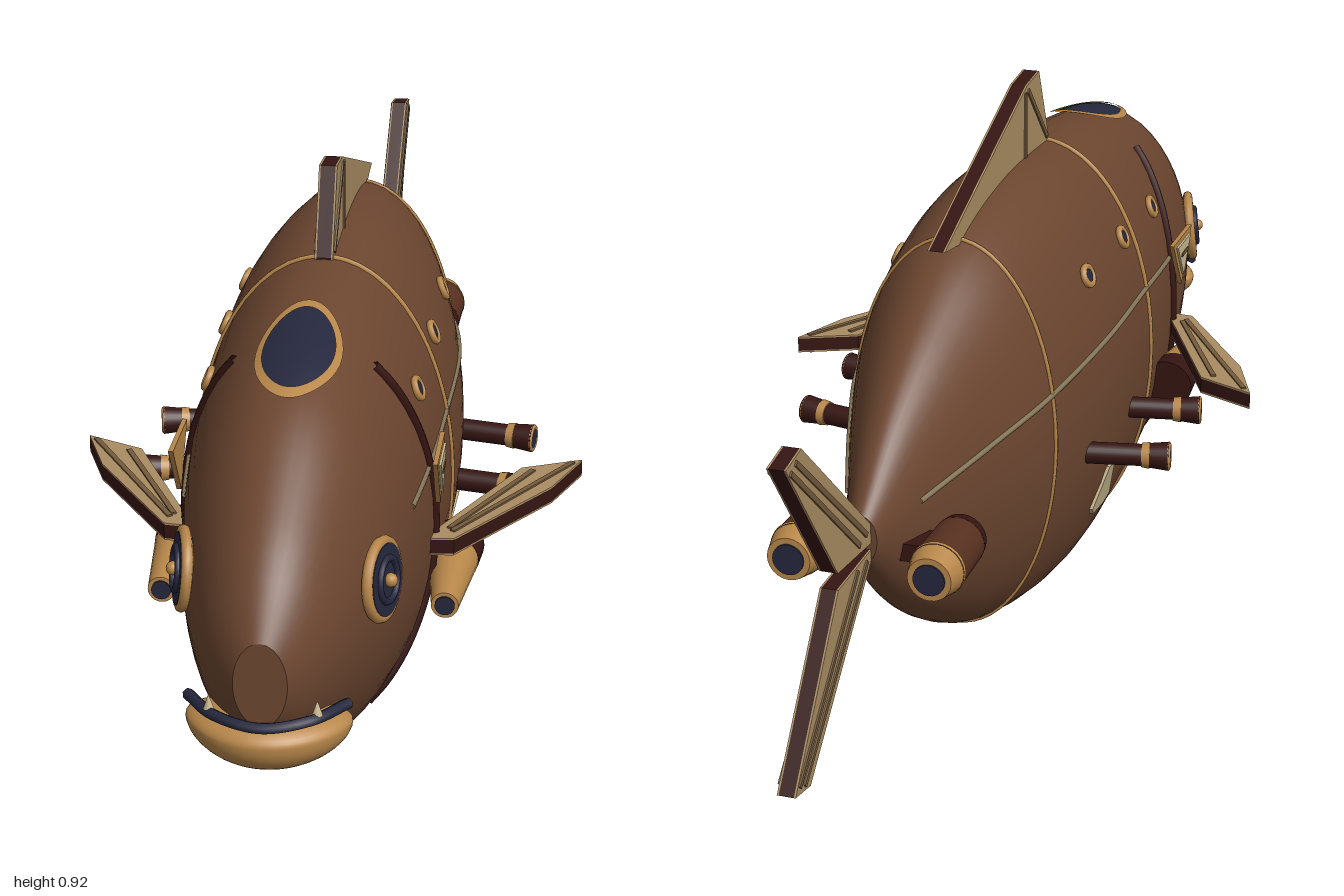
import * as THREE from 'three';

const mat = (name, color) => new THREE.MeshStandardMaterial({ name, color, side: THREE.DoubleSide });

// hull stations: z, bottom y, top y, half width
const STATIONS = [
  [-0.67, 0.37, 0.45, 0.025], [-0.55, 0.25, 0.565, 0.07], [-0.4, 0.14, 0.67, 0.125],
  [-0.23, 0.055, 0.755, 0.178], [0, 0.008, 0.79, 0.213], [0.24, 0.02, 0.783, 0.213],
  [0.45, 0.05, 0.765, 0.2], [0.67, 0.115, 0.715, 0.168], [0.85, 0.215, 0.605, 0.118],
  [0.93, 0.275, 0.535, 0.08], [0.98, 0.33, 0.465, 0.04],
];

// smooth hull section at z: centre y, half height, half width
function section(z) {
  const S = STATIONS, n = S.length;
  let i = 0;
  while (i < n - 2 && z > S[i + 1][0]) i++;
  const d = S[i + 1][0] - S[i][0];
  const t = Math.min(1, Math.max(0, (z - S[i][0]) / d));
  const slope = (j, k) => {
    const a = S[Math.max(0, j - 1)], b = S[Math.min(n - 1, j + 1)];
    return (b[k] - a[k]) / (b[0] - a[0]);
  };
  const [lo, hi, w] = [1, 2, 3].map((k) =>
    (2 * t ** 3 - 3 * t ** 2 + 1) * S[i][k] + (t ** 3 - 2 * t ** 2 + t) * d * slope(i, k) +
    (3 * t ** 2 - 2 * t ** 3) * S[i + 1][k] + (t ** 3 - t ** 2) * d * slope(i + 1, k));
  return { c: (lo + hi) / 2, h: (hi - lo) / 2, w };
}
const sideX = (y, z) => {
  const { c, h, w } = section(z);
  return w * Math.sqrt(Math.max(0, 1 - ((y - c) / h) ** 2));
};
const topY = (x, z) => {
  const { c, h, w } = section(z);
  return c + h * Math.sqrt(Math.max(0, 1 - (x / w) ** 2));
};

// move every vertex by a rule
function warp(geo, rule) {
  const p = geo.attributes.position, v = new THREE.Vector3();
  for (let i = 0; i < p.count; i++) {
    rule(v.fromBufferAttribute(p, i));
    p.setXYZ(i, v.x, v.y, v.z);
  }
  geo.computeVertexNormals();
  return geo;
}

export function createModel() {
  const model = new THREE.Group();
  model.name = 'fishSubmarine';
  const M = {
    hull: mat('hullBrown', 0x6c4630), gold: mat('brass', 0xb8874a), dark: mat('mahogany', 0x351512),
    navy: mat('navyGlass', 0x25273d), tan: mat('finTan', 0xa98c62), rib: mat('ribBrown', 0x735a3c),
    cream: mat('cream', 0xc9b78f), rope: mat('ropeGrey', 0x87785a), engine: mat('engineBrown', 0x57301f),
  };
  const add = (parent, name, geo, m, x = 0, y = 0, z = 0) => {
    const mesh = new THREE.Mesh(geo, m);
    mesh.name = name;
    mesh.position.set(x, y, z);
    parent.add(mesh);
    return mesh;
  };
  const group = (parent, name) => {
    const g = new THREE.Group();
    g.name = name;
    parent.add(g);
    return g;
  };
  const tube = (pts, r, closed = false, n = 64) =>
    new THREE.TubeGeometry(new THREE.CatmullRomCurve3(pts, closed), n, r, 6, closed);
  const poly = (pts) => new THREE.Shape(pts.map(([a, b]) => new THREE.Vector2(a, b)));

  // hull
  add(model, 'hull', warp(new THREE.CylinderGeometry(1, 1, 1, 48, 60).rotateX(Math.PI / 2), (v) => {
    v.z = -0.67 + (v.z + 0.5) * 1.65;
    const s = section(v.z);
    v.x *= s.w;
    v.y = s.c + v.y * s.h;
  }), M.hull);
  const noseRim = [], hoops = [[0.24, 0.005], [-0.23, 0.004]];
  for (const [z, r] of hoops) {
    const s = section(z), pts = [];
    for (let i = 0; i < 48; i++) {
      const a = i / 48 * Math.PI * 2;
      pts.push(new THREE.Vector3(Math.cos(a) * s.w, s.c + Math.sin(a) * s.h, z));
    }
    add(model, 'hullHoop', tube(pts, r, true, 96), M.gold);
  }

  // fins are drawn flat, then turned into place
  function fin(parent, name, outline, ribs) {
    const g = group(parent, name);
    const slab = (t) => new THREE.ExtrudeGeometry(poly(outline), { depth: t, bevelEnabled: false });
    add(g, 'finCore', slab(0.024), M.dark, 0, 0, -0.012);
    add(g, 'finSkin', slab(0.003), M.tan, 0, 0, 0.012);
    add(g, 'finSkin', slab(0.003), M.tan, 0, 0, -0.015);
    for (const [a, b, c, d] of ribs) {
      const rib = add(g, 'finRib', new THREE.BoxGeometry(Math.hypot(c - a, d - b), 0.009, 0.036), M.rib,
        (a + c) / 2, (b + d) / 2);
      rib.rotation.z = Math.atan2(d - b, c - a);
    }
    return g;
  }
  fin(model, 'dorsalFin', [[-0.25, 0.76], [-0.25, 0.785], [-0.19, 0.922], [-0.12, 0.915], [0.315, 0.76], [0.22, 0.745], [0.1, 0.76]],
    [[-0.11, 0.78, -0.11, 0.905], [-0.235, 0.79, -0.125, 0.905]]).rotation.y = Math.PI / 2;
  fin(model, 'upperTailFin', [[0.66, 0.405], [0.66, 0.43], [0.94, 0.68], [1, 0.67], [0.81, 0.42]],
    [[0.69, 0.43, 0.965, 0.668], [0.72, 0.425, 0.985, 0.66]]).rotation.y = Math.PI / 2;
  fin(model, 'lowerTailFin', [[0.66, 0.395], [0.81, 0.392], [1, 0.14], [0.94, 0.128], [0.66, 0.385]],
    [[0.69, 0.385, 0.965, 0.142], [0.73, 0.387, 0.985, 0.15]]).rotation.y = Math.PI / 2;

  // canopy laid over the top of the hull
  const overTop = (geo, lift) => warp(geo.rotateX(-Math.PI / 2), (v) => {
    v.x *= 0.06 * (1 - 0.1 * v.z * v.z);
    v.z = 0.55 + v.z * 0.115;
    v.y = topY(v.x, v.z) + lift;
  });
  add(model, 'canopyGlass', overTop(new THREE.RingGeometry(0, 1, 40, 8), 0.006), M.navy);
  add(model, 'canopyRim', overTop(new THREE.RingGeometry(0.93, 1.12, 40, 2), 0.009), M.gold);

  // mouth
  add(model, 'lowerLip', warp(new THREE.SphereGeometry(1, 36, 24), (v) => {
    v.x *= 0.125;
    v.z = 0.925 + v.z * 0.072 - v.x * v.x * 2;
    v.y = 0.3 + v.y * (v.y > 0 ? 0.03 : 0.06);
  }), M.gold);
  add(model, 'upperLip', tube([[-0.12, 0.336, 0.905], [-0.07, 0.336, 0.965], [0, 0.33, 0.985], [0.07, 0.336, 0.965], [0.12, 0.336, 0.905]]
    .map((p) => new THREE.Vector3(...p)), 0.009), M.navy);

  // everything on the flanks is built on the left and mirrored
  function buildSide(parent) {
    // round fitting standing on the hull, facing along its normal
    const mount = (name, y, z) => {
      const g = group(parent, name), e = 0.01;
      const n = new THREE.Vector3(1, -(sideX(y + e, z) - sideX(y - e, z)) / (2 * e),
        -(sideX(y, z + e) - sideX(y, z - e)) / (2 * e)).normalize();
      g.position.set(sideX(y, z), y, z);
      g.quaternion.setFromUnitVectors(new THREE.Vector3(0, 0, 1), n);
      return g;
    };
    const disc = (r, t) => new THREE.CylinderGeometry(r, r, t, 28).rotateX(Math.PI / 2);

    const eye = mount('eye', 0.463, 0.75);
    add(eye, 'eyeRim', new THREE.TorusGeometry(0.058, 0.009, 8, 32), M.gold, 0, 0, 0.006);
    add(eye, 'eyeGlass', disc(0.056, 0.03), M.navy);
    add(eye, 'eyeRing', new THREE.TorusGeometry(0.033, 0.006, 8, 28), M.navy, 0, 0, 0.016);
    add(eye, 'pupil', new THREE.SphereGeometry(0.011, 14, 10), M.gold, 0, 0, 0.02);

    for (const [z, y] of [[0.39, 0.622], [0.18, 0.635], [-0.025, 0.635]]) {
      const port = mount('porthole', y, z);
      add(port, 'portholeRim', new THREE.TorusGeometry(0.016, 0.006, 8, 20), M.gold, 0, 0, 0.004);
      add(port, 'portholeGlass', disc(0.015, 0.014), M.navy);
    }

    // gill strip and rope along the flank
    const along = (n, f) => Array.from({ length: n + 1 }, (_, i) => {
      const [y, z] = f(i / n);
      return new THREE.Vector3(sideX(y, z), y, z);
    });
    add(parent, 'gillStrip', tube(along(20, (t) => [0.7 - 0.59 * t, 0.49 - 0.06 * Math.sin(Math.PI * t)]), 0.009), M.dark);
    add(parent, 'flankRope', tube(along(30, (t) => [0.5 - 0.06 * t + 0.05 * Math.sin(Math.PI * t), 0.57 - 1.14 * t]), 0.005, false, 90), M.rope);

    // flat plates on the flank
    const plate = (name, pts, m, x) => add(parent, name,
      new THREE.ExtrudeGeometry(poly(pts), { depth: 0.008, bevelEnabled: false }).rotateY(Math.PI / 2), m, x);
    plate('badgeFrame', [[-0.52, 0.55], [-0.455, 0.455], [-0.39, 0.55]], M.gold, 0.205);
    plate('badgeFace', [[-0.5, 0.54], [-0.455, 0.474], [-0.41, 0.54]], M.cream, 0.209);
    plate('badgeBar', [[-0.475, 0.515], [-0.435, 0.515], [-0.435, 0.522], [-0.475, 0.522]], M.rib, 0.211);
    const patch = new THREE.ExtrudeGeometry(
      poly([[-0.055, 0.2], [-0.03, 0.19], [0.02, 0.19], [0.035, 0.205], [0, 0.275], [-0.025, 0.275]]),
      { depth: 0.006, bevelEnabled: false }).rotateY(Math.PI / 2);
    add(parent, 'hullPatch', warp(patch, (v) => { v.x += sideX(v.y, v.z); }), M.cream);

    const pectoral = fin(parent, 'pectoralFin', [[0.19, -0.46], [0.235, -0.455], [0.38, -0.24], [0.425, -0.125], [0.325, -0.17], [0.205, -0.42]],
      [[0.23, -0.43, 0.41, -0.14], [0.225, -0.42, 0.345, -0.18]]);
    pectoral.rotation.x = -Math.PI / 2;
    pectoral.position.y = 0.378;

    // forward nozzle
    const barrel = (r1, r2, len) => new THREE.CylinderGeometry(r1, r2, len, 24).rotateX(Math.PI / 2);
    const nozzle = group(parent, 'nozzle');
    nozzle.position.set(0.228, 0.311, 0);
    add(nozzle, 'nozzleCone', barrel(0.022, 0.041, 0.17), M.gold, 0, 0, 0.445);
    add(nozzle, 'nozzleBore', barrel(0.016, 0.016, 0.004), M.navy, 0, 0, 0.531);
    add(nozzle, 'nozzleBase', barrel(0.041, 0.046, 0.06), M.dark, 0, 0, 0.335);

    // side exhausts
    for (const z of [0.11, -0.1]) {
      const pipe = group(parent, 'exhaust');
      pipe.position.set(0.18, 0.342, z);
      pipe.rotation.y = Math.PI / 2 - 0.2;
      add(pipe, 'exhaustPipe', barrel(0.019, 0.019, 0.12), M.dark, 0, 0, 0.06);
      add(pipe, 'exhaustBand', barrel(0.023, 0.021, 0.014), M.gold, 0, 0, 0.115);
      add(pipe, 'exhaustMouth', barrel(0.025, 0.021, 0.035), M.dark, 0, 0, 0.137);
      add(pipe, 'exhaustRim', new THREE.TorusGeometry(0.02, 0.005, 8, 20), M.gold, 0, 0, 0.153);
      add(pipe, 'exhaustBore', barrel(0.017, 0.017, 0.004), M.navy, 0, 0, 0.155);
    }

    // stern engine
    const engine = group(parent, 'sternEngine');
    engine.position.set(0.116, 0.367, 0);
    add(engine, 'engineFront', barrel(0.04, 0.043, 0.02), M.dark, 0, 0, -0.537);
    add(engine, 'engineBody', barrel(0.043, 0.045, 0.105), M.engine, 0, 0, -0.6);
    add(engine, 'engineCap', barrel(0.046, 0.036, 0.042), M.gold, 0, 0, -0.667);
    add(engine, 'engineBore', barrel(0.026, 0.026, 0.004), M.navy, 0, 0, -0.689);
    add(engine, 'engineStrut', new THREE.BoxGeometry(0.1, 0.03, 0.06), M.dark, -0.06, 0, -0.58);

    add(parent, 'tooth', new THREE.ConeGeometry(0.009, 0.026, 10), M.cream, 0.08, 0.352, 0.955);
  }
  const left = group(model, 'leftSide'), right = group(model, 'rightSide');
  buildSide(left);
  buildSide(right);
  right.scale.x = -1;
  return model;
}
